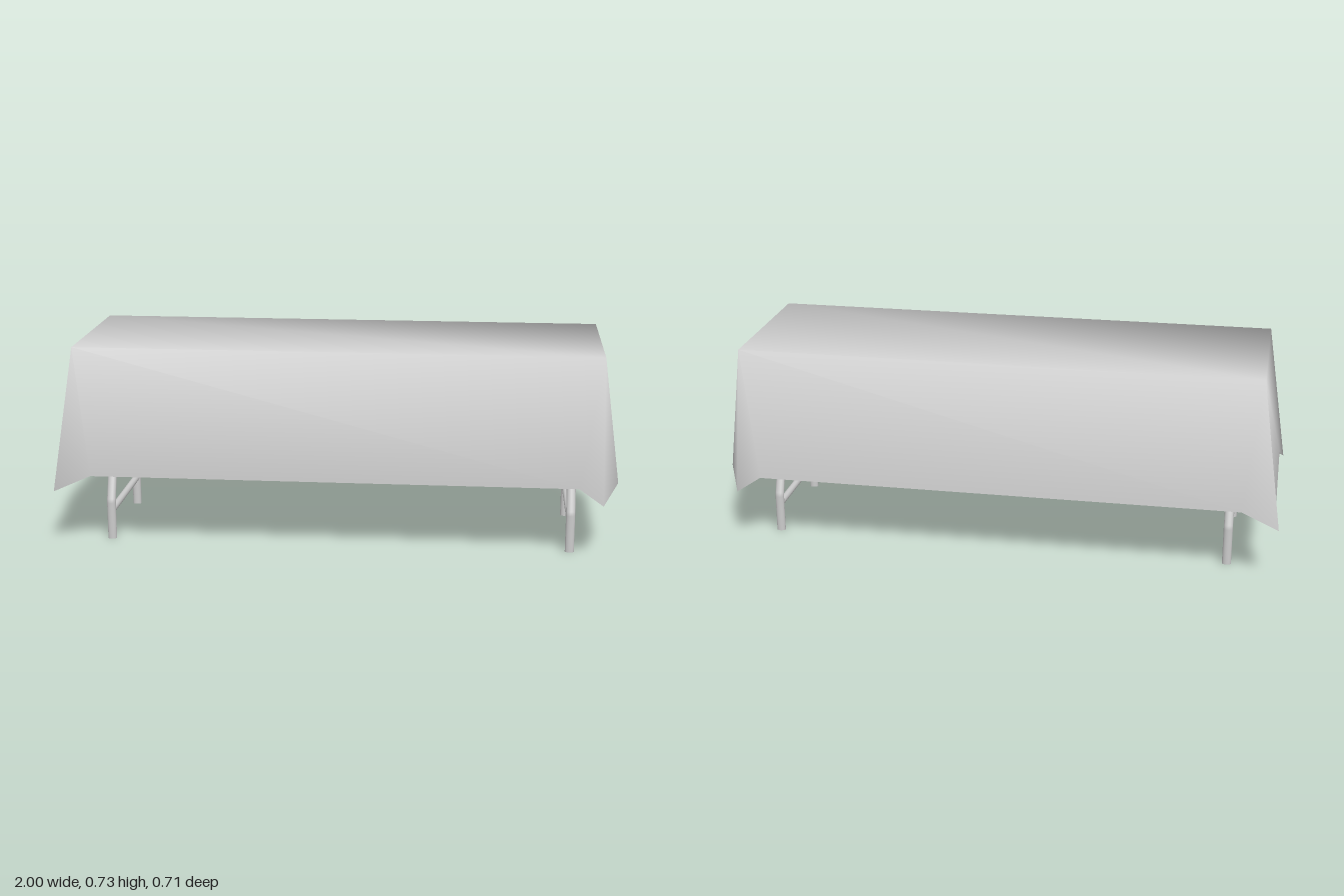
import * as THREE from 'three';

const GREY = 0xcccccc;

// Draped cloth: four top corners, each fanning out to three hem points
function createCloth() {
  const topY = 0.73, hemY = 0.267, tipY = 0.212;
  // Counter-clockwise from above: top corner, hem before, hanging tip, hem after
  const corners = [
    [[0.935, topY, 0.31], [0.86, hemY, 0.337], [0.945, tipY, 0.355], [1, hemY, 0.25]],
    [[0.935, topY, -0.28], [1, hemY, -0.24], [0.945, tipY, -0.355], [0.86, hemY, -0.343]],
    [[-0.925, topY, -0.28], [-0.87, hemY, -0.343], [-1, tipY, -0.355], [-0.985, hemY, -0.24]],
    [[-0.925, topY, 0.31], [-0.985, hemY, 0.25], [-1, tipY, 0.355], [-0.87, hemY, 0.337]],
  ];
  const index = [0, 4, 8, 0, 8, 12];
  for (let i = 0; i < 4; i++) {
    const c = i * 4, n = ((i + 1) % 4) * 4;
    index.push(c, c + 1, c + 2, c, c + 2, c + 3); // flared corner
    index.push(c, c + 3, n + 1, c, n + 1, n); // side panel
  }
  const geometry = new THREE.BufferGeometry();
  geometry.setAttribute('position', new THREE.Float32BufferAttribute(corners.flat(2), 3));
  geometry.setIndex(index);
  geometry.computeVertexNormals();
  const cloth = new THREE.Mesh(geometry,
    new THREE.MeshStandardMaterial({ color: GREY, side: THREE.DoubleSide }));
  cloth.name = 'tablecloth';
  return cloth;
}

// Straight-segmented path for a bent tube
function bentPath(points) {
  const path = new THREE.CurvePath();
  for (let i = 1; i < points.length; i++) path.add(new THREE.LineCurve3(points[i - 1], points[i]));
  return path;
}

// One end frame: two bent legs and a cross bar
function createLegFrame(name, x, material) {
  const frame = new THREE.Group();
  frame.name = name;
  const centreZ = 0.016, radius = 0.0125;

  for (const side of [1, -1]) {
    const at = (y, z) => new THREE.Vector3(0, y, centreZ + side * z);
    const path = bentPath([at(0, 0.212), at(0.14, 0.212), at(0.34, 0.141), at(0.725, 0.141)]);
    const leg = new THREE.Mesh(new THREE.TubeGeometry(path, 60, radius, 16), material);
    leg.name = side > 0 ? 'frontLeg' : 'backLeg';
    leg.scale.x = 1.3;
    const foot = new THREE.Mesh(new THREE.CircleGeometry(radius, 16), material);
    foot.name = 'footCap';
    foot.rotation.x = Math.PI / 2;
    foot.position.copy(at(0, 0.212));
    leg.add(foot);
    frame.add(leg);
  }

  const bar = new THREE.Mesh(new THREE.CylinderGeometry(radius, radius, 0.415, 16), material);
  bar.name = 'crossBar';
  bar.rotation.x = Math.PI / 2;
  bar.position.set(0, 0.105, centreZ);
  frame.add(bar);

  frame.position.x = x;
  return frame;
}

export function createModel() {
  const model = new THREE.Group();
  model.name = 'clothCoveredTable';
  const metal = new THREE.MeshStandardMaterial({ color: GREY });
  model.add(createCloth());
  model.add(createLegFrame('leftLegFrame', 0.84, metal));
  model.add(createLegFrame('rightLegFrame', -0.823, metal));
  return model;
}
